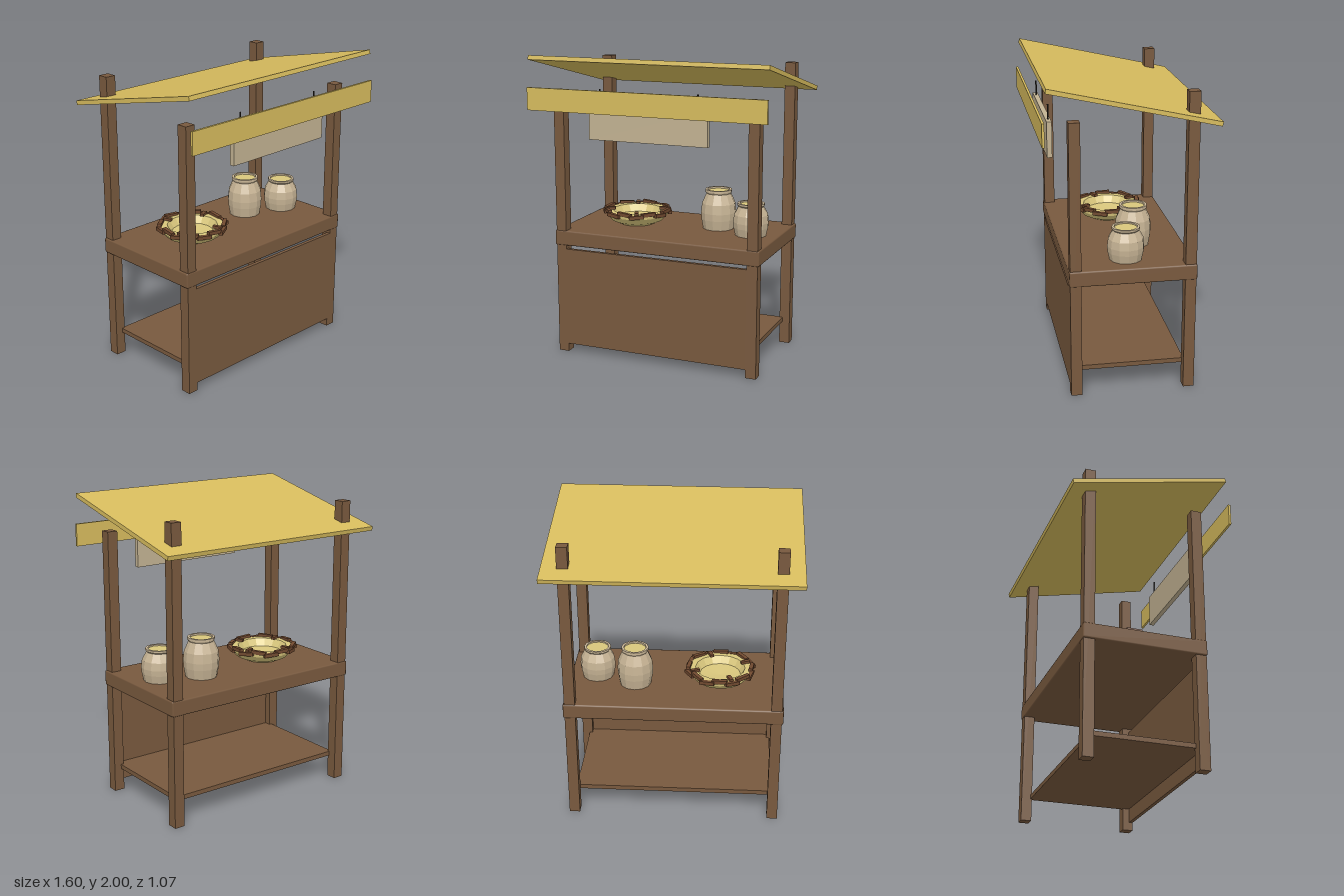
import * as THREE from 'three';
import { RoundedBoxGeometry } from 'three/addons/geometries/RoundedBoxGeometry.js';

const material = (name, color, flatShading = false) => {
  const m = new THREE.MeshStandardMaterial({ color, flatShading });
  m.name = name;
  return m;
};

export function createModel() {
  const wood = material('brown wood', 0x78593e);
  const straw = material('straw yellow', 0xd6bb5d);
  const canvas = material('pale board', 0xc2b292);
  const clay = material('beige clay', 0xc6b394, true);
  const wicker = material('pale wicker', 0xd8c67c, true);
  const twig = material('dark twig', 0x70492f);
  const iron = material('dark iron', 0x2c2620);

  const model = new THREE.Group();
  model.name = 'marketStall';

  const add = (name, geometry, mat, x, y, z, parent = model) => {
    const mesh = new THREE.Mesh(geometry, mat);
    mesh.name = name;
    mesh.position.set(x, y, z);
    parent.add(mesh);
    return mesh;
  };
  // Box given by its lower and upper bounds
  const block = (name, mat, [x0, x1], [y0, y1], [z0, z1]) =>
    add(name, new THREE.BoxGeometry(x1 - x0, y1 - y0, z1 - z0), mat,
      (x0 + x1) / 2, (y0 + y1) / 2, (z0 + z1) / 2);

  // Corner posts and sign hangers, mirrored left and right
  for (const s of [-1, 1]) {
    const side = s > 0 ? 'left' : 'right';
    const xs = [s * 0.665 - 0.035, s * 0.665 + 0.035];
    block(side + 'FrontPost', wood, xs, [0, 1.77], [0.3, 0.37]);
    block(side + 'BackPost', wood, xs, [0, 1.93], [-0.42, -0.35]);
    add(side + 'SignHanger', new THREE.CylinderGeometry(0.005, 0.005, 0.1, 6), iron, s * 0.33, 1.75, 0.445);
  }

  // Counter, front panel and lower shelf
  add('counter', new RoundedBoxGeometry(1.42, 0.1, 0.8, 1, 0.01), wood, 0, 0.79, -0.025);
  block('frontPanel', wood, [-0.7, 0.7], [0.055, 0.715], [0.345, 0.37]);
  block('shelf', wood, [-0.65, 0.65], [0.15, 0.18], [-0.36, 0.345]);

  // Sloping roof, valance and hanging sign board
  const roof = add('roof', new THREE.BoxGeometry(1.6, 0.028, 1.066), straw, 0, 1.869, -0.01);
  roof.rotation.x = -Math.atan2(0.235, 1.04);
  block('valance', straw, [-0.8, 0.8], [1.655, 1.8], [0.52, 0.535]);
  block('signBoard', canvas, [-0.4, 0.4], [1.48, 1.705], [0.43, 0.462]);

  // Faceted jars with filled mouths
  const addJar = (name, x, z, h) => {
    const jar = new THREE.Group();
    jar.name = name;
    jar.position.set(x, 0.84, z);
    const profile = [[0, 0], [0.103, 0], [0.115, 0.25], [0.118, 0.42], [0.112, 0.65], [0.083, 0.9],
      [0.09, 0.94], [0.09, 1], [0.074, 1], [0.074, 0.93]];
    const points = profile.map(([r, t]) => new THREE.Vector2(r, t * h));
    add('jarBody', new THREE.LatheGeometry(points, 12), clay, 0, 0, 0, jar);
    const fill = add('jarFilling', new THREE.CircleGeometry(0.076, 12), wicker, 0, h * 0.955, 0, jar);
    fill.rotation.x = -Math.PI / 2;
    model.add(jar);
  };
  addJar('tallJar', 0.267, -0.1, 0.265);
  addJar('shortJar', 0.527, -0.005, 0.213);

  // Shallow basket
  const basket = new THREE.Group();
  basket.name = 'basket';
  basket.position.set(-0.293, 0.84, -0.027);
  model.add(basket);
  const bowl = [[0, 0], [0.115, 0], [0.175, 0.027], [0.21, 0.065], [0.215, 0.092], [0.165, 0.092],
    [0.135, 0.045], [0, 0.035]].map(([r, y]) => new THREE.Vector2(r, y));
  add('basketBowl', new THREE.LatheGeometry(bowl, 16), wicker, 0, 0, 0, basket);

  // Overlapping twigs around the rim, with a few short ties across it
  const count = 16;
  for (let i = 0; i < count; i++) {
    const spoke = new THREE.Group();
    spoke.name = 'rimTwig';
    spoke.rotation.y = (i / count) * Math.PI * 2;
    basket.add(spoke);
    const piece = add('twig', new THREE.BoxGeometry(0.1, 0.024, 0.026), twig,
      0, i % 2 ? 0.083 : 0.097, i % 2 ? 0.216 : 0.207, spoke);
    piece.rotation.set(0, i % 2 ? 0.12 : -0.12, i % 3 ? 0.06 : -0.08);
    if (i % 4 === 1) add('tie', new THREE.BoxGeometry(0.025, 0.018, 0.06), twig, 0, 0.1, 0.178, spoke);
  }

  return model;
}
